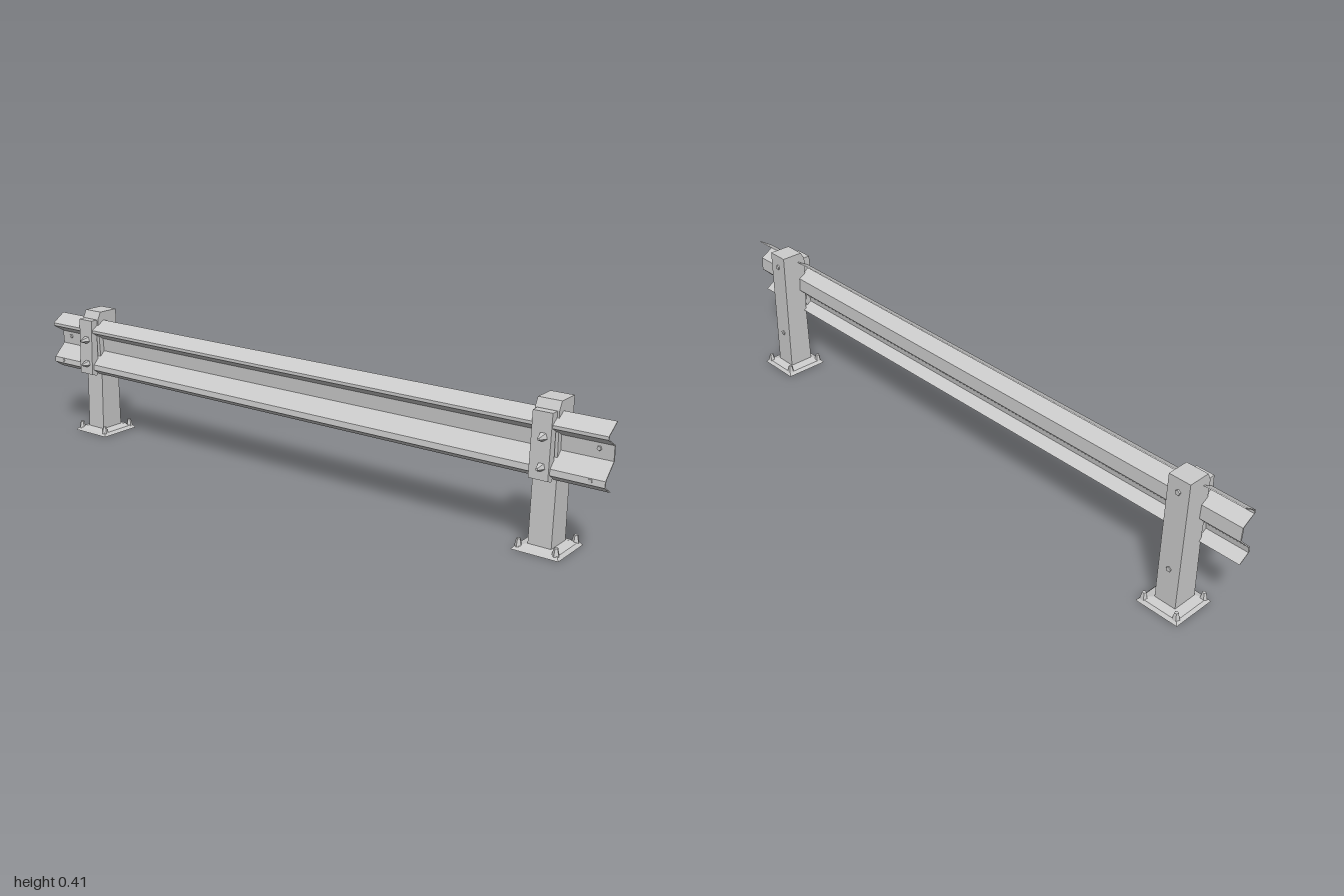
import * as THREE from 'three';

const material = new THREE.MeshStandardMaterial({ color: 0xcccccc, flatShading: true });

function addMesh(parent, name, geometry, x = 0, y = 0, z = 0) {
  const mesh = new THREE.Mesh(geometry, material);
  mesh.name = name;
  mesh.position.set(x, y, z);
  parent.add(mesh);
  return mesh;
}

// Sweeps a closed [z, y] side profile along x, centred on x = 0
function sweepAlongX(profile, width) {
  const shape = new THREE.Shape(profile.map(([z, y]) => new THREE.Vector2(-z, y)));
  const geometry = new THREE.ExtrudeGeometry(shape, { depth: width, bevelEnabled: false });
  return geometry.translate(0, 0, -width / 2).rotateY(Math.PI / 2);
}

// Four-sided tapered block standing on y = 0
function frustum(w0, d0, w1, d1, h) {
  const geometry = new THREE.BoxGeometry(1, h, 1).translate(0, h / 2, 0);
  const p = geometry.attributes.position;
  for (let i = 0; i < p.count; i++) {
    const top = p.getY(i) > h / 2;
    p.setX(i, p.getX(i) * (top ? w1 : w0));
    p.setZ(i, p.getZ(i) * (top ? d1 : d0));
  }
  return geometry;
}

function createPost() {
  const post = new THREE.Group();

  // Upright with a chamfered front top edge
  addMesh(post, 'upright', sweepAlongX([
    [0.03, 0.01], [-0.051, 0.01], [-0.049, 0.415], [0.02, 0.415], [0.032, 0.392], [0.025, 0.2],
  ], 0.068));

  // Base plate, thin rim and shallow slope up to the post
  addMesh(post, 'basePlate', frustum(0.138, 0.142, 0.122, 0.126, 0.01), 0, 0, -0.014);
  addMesh(post, 'baseCollar', frustum(0.122, 0.126, 0.07, 0.084, 0.006), 0, 0.01, -0.012);

  // Anchor bolts in the plate corners
  for (const sx of [-1, 1]) {
    for (const z of [0.043, -0.071]) {
      addMesh(post, 'anchorBolt', new THREE.CylinderGeometry(0.006, 0.011, 0.022, 5), sx * 0.054, 0.019, z);
    }
  }

  // Clamp block in front of the rail
  addMesh(post, 'clamp', sweepAlongX([
    [0.022, 0.39], [0.056, 0.39], [0.062, 0.21], [0.042, 0.203],
    [0.03, 0.225], [0.034, 0.25], [0.034, 0.345],
  ], 0.056));

  // Pointed front bolts
  for (const y of [0.325, 0.245]) {
    addMesh(post, 'clampBolt', new THREE.CylinderGeometry(0.004, 0.013, 0.026, 5).rotateX(Math.PI / 2), 0.006, y, 0.072);
  }

  // Low bolt heads on the back
  for (const y of [0.375, 0.13]) {
    addMesh(post, 'rearBolt', new THREE.CylinderGeometry(0.008, 0.009, 0.006, 5).rotateX(-Math.PI / 2), 0, y, -0.0505);
  }
  return post;
}

export function createModel() {
  const model = new THREE.Group();
  model.name = 'guardrail';

  // Folded rail: two ridges facing forward with a flat valley between
  const front = [
    [0.01, 0.386], [0.053, 0.358], [0.053, 0.349], [0.013, 0.325], [0.011, 0.283],
    [0.053, 0.242], [0.055, 0.225], [0.022, 0.204],
  ];
  const back = front.map(([z, y]) => [z - 0.005, y]).reverse();
  addMesh(model, 'rail', sweepAlongX([...front, ...back], 2));

  // Small bolt heads near the rail ends
  for (const sx of [-1, 1]) {
    for (const y of [0.31, 0.235]) {
      addMesh(model, 'railEndBolt', new THREE.CylinderGeometry(0.006, 0.008, 0.006, 5).rotateX(Math.PI / 2),
        sx * 0.96, y, y > 0.3 ? 0.013 : 0.053);
    }
  }

  // Posts
  for (const [name, x] of [['rightPost', -0.84], ['leftPost', 0.822]]) {
    const post = createPost();
    post.name = name;
    post.position.x = x;
    model.add(post);
  }
  return model;
}
